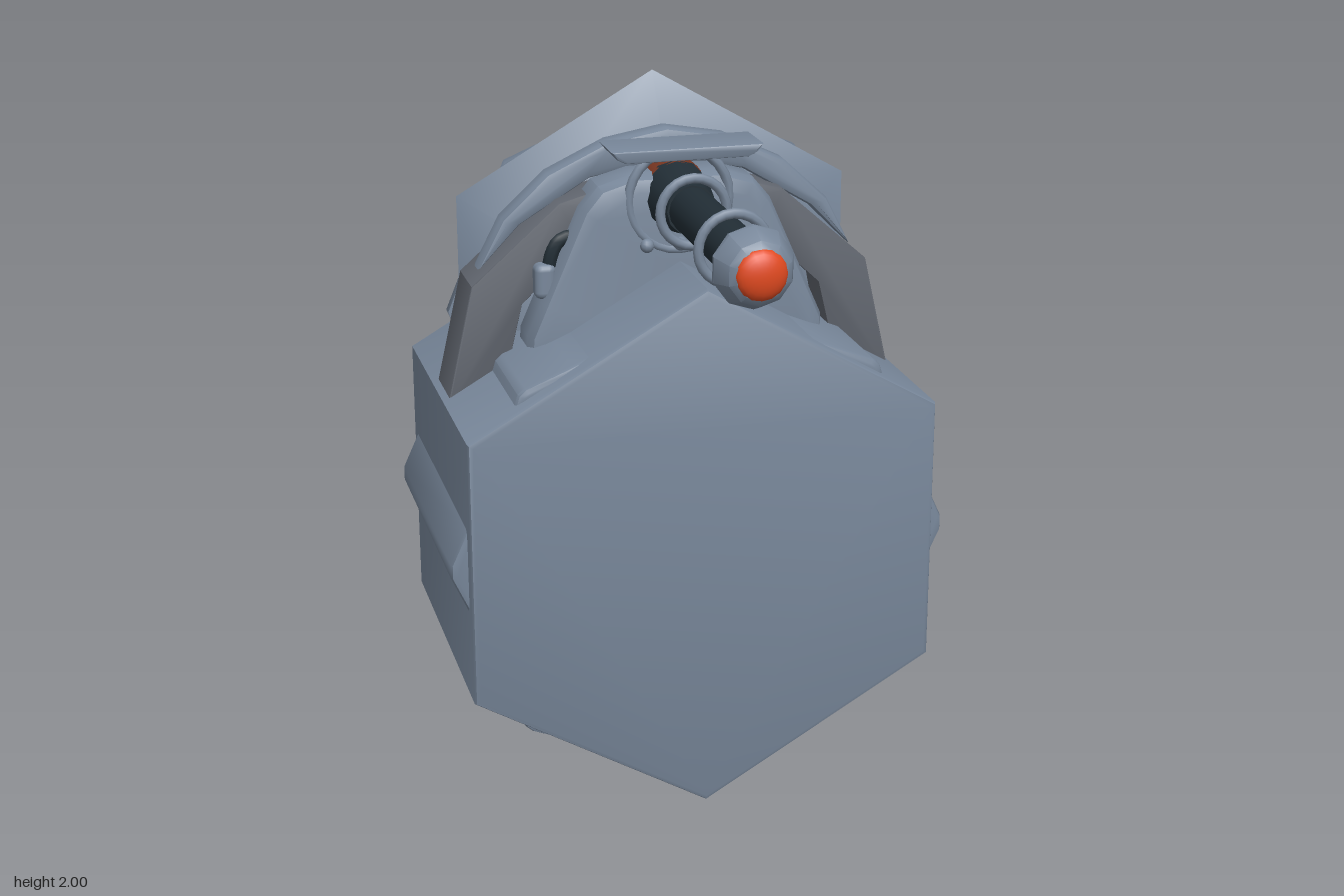
import * as THREE from 'three';
import { toCreasedNormals } from 'three/addons/utils/BufferGeometryUtils.js';
import { RoundedBoxGeometry } from 'three/addons/geometries/RoundedBoxGeometry.js';

const material = (name, color) => {
  const m = new THREE.MeshStandardMaterial({ color });
  m.name = name;
  return m;
};

export function createModel() {
  const model = new THREE.Group();
  model.name = 'hexTurret';
  const steel = material('blue grey steel', 0x78879a);
  const shade = material('dark grey steel', 0x626770);
  const black = material('gunmetal', 0x222e36);
  const orange = material('orange tip', 0xe24a20);
  const rust = material('rust collar', 0x7a3722);

  const add = (name, geometry, mat, x = 0, y = 0, z = 0) => {
    const mesh = new THREE.Mesh(geometry, mat);
    mesh.name = name;
    mesh.position.set(x, y, z);
    model.add(mesh);
    return mesh;
  };

  // Outline extruded from z0 to z1, with softened end edges
  const prism = (points, z0, z1, bevel = 0.015) => {
    const shape = new THREE.Shape(points.map(([x, y]) => new THREE.Vector2(x, y)));
    const geometry = new THREE.ExtrudeGeometry(shape, {
      depth: z1 - z0 - 2 * bevel, bevelEnabled: true, bevelThickness: bevel,
      bevelSize: bevel, bevelOffset: -bevel, bevelSegments: 2, curveSegments: 8,
    });
    return toCreasedNormals(geometry.translate(0, 0, z0 + bevel), 0.6);
  };

  // Tapered round or polygonal part along z
  const taper = (rBack, rFront, z0, z1, sides) => toCreasedNormals(
    new THREE.CylinderGeometry(rFront, rBack, z1 - z0, sides)
      .rotateX(Math.PI / 2).translate(0, 0, (z0 + z1) / 2), 0.9);

  // Mirror the right half of an outline; points run from bottom to top
  const mirrored = (half) => [...half, ...half.slice().reverse()
    .filter(([x]) => x !== 0).map(([x, y]) => [-x, y])];

  // Hexagonal body
  const cy = 0.765;
  add('body', prism([[0, 0], [0.66, 0.385], [0.66, 1.145], [0, 1.525],
    [-0.66, 1.145], [-0.66, 0.385]], -0.66, 0.255), steel);

  // Raised ribs on the body sides
  for (const s of [1, -1]) {
    const side = [[0.64, 0.6], [0.66, 0.645], [0.706, 0.745], [0.706, 0.785], [0.66, 0.885], [0.64, 0.92]];
    add('sideRib', prism(side.map(([x, y]) => [s * x, y]), -0.61, 0.205), steel);
    for (const v of [1, -1]) {
      const rib = [[0.3, -0.54], [0.3, -0.585], [0.36, -0.56], [0.49, -0.508], [0.51, -0.49],
        [0.522, -0.45], [0.48, -0.43]];
      add(v > 0 ? 'upperRib' : 'lowerRib',
        prism(rib.map(([x, y]) => [s * x, cy - v * y]), -0.61, 0.205), steel);
    }
  }

  // Rear fin
  add('rearFin', new RoundedBoxGeometry(0.735, 0.038, 0.17, 3, 0.018), black, 0, 1.28, -0.685);

  // Shield: tapered hexagon in front of an octagonal back plate
  add('shield', taper(0.655, 0.45, -0.335, -0.2, 6), steel, 0, 1.345, 0);
  add('shieldBackPlate', taper(0.6, 0.6, -0.37, -0.338, 8), steel, 0, 1.335, 0);

  // Arch over the body
  add('arch', prism([...[[0.65, 1.12], [0.57, 1.47], [0.32, 1.69], [0, 1.78], [-0.32, 1.69],
    [-0.57, 1.47], [-0.65, 1.12]], [-0.5, 1.12], [-0.43, 1.41], [-0.26, 1.57], [0, 1.63],
    [0.26, 1.57], [0.43, 1.41], [0.5, 1.12]], -0.295, -0.115, 0.005), shade);

  // Crescent rim on top of the arch
  add('crescentRim', prism([[0.54, 1.5], [0.47, 1.64], [0.34, 1.76], [0.17, 1.84], [0, 1.87],
    [-0.17, 1.84], [-0.34, 1.76], [-0.47, 1.64], [-0.54, 1.5], [-0.42, 1.62], [-0.22, 1.74],
    [0, 1.78], [0.22, 1.74], [0.42, 1.62]], -0.245, -0.165, 0.018), steel);

  // Gun housing
  add('gunHousing', prism(mirrored([[0.43, 1.2], [0.425, 1.33], [0.385, 1.42], [0.27, 1.68],
    [0.22, 1.74], [0.12, 1.77]]), -0.22, -0.035, 0.045), steel);

  // Gun, built along z at the barrel height
  const gy = 1.7;
  add('collar', taper(0.1, 0.1, -0.18, -0.07, 10), rust, 0, gy);
  add('barrelBase', taper(0.1, 0.07, -0.08, 0.09, 12), black, 0, gy);
  add('barrel', taper(0.064, 0.064, 0.05, 0.66, 16), black, 0, gy);
  for (const z of [0.105, 0.485]) {
    add('barrelRing', new THREE.TorusGeometry(0.093, 0.014, 8, 24), steel, 0, gy, z);
  }
  const muzzle = [[0, 0.63], [0.085, 0.635], [0.108, 0.65], [0.108, 0.665], [0.085, 0.725], [0.066, 0.738], [0, 0.738]];
  add('muzzle', toCreasedNormals(new THREE.LatheGeometry(
    muzzle.map(([r, z]) => new THREE.Vector2(r, z)), 10).rotateX(Math.PI / 2), 0.6), steel, 0, gy);
  add('muzzleTip', new THREE.SphereGeometry(0.068, 16, 8, 0, Math.PI * 2, 0, Math.PI / 2)
    .scale(1, 0.5, 1).rotateX(Math.PI / 2), orange, 0, gy, 0.73);

  // Sight plate, its ring bracket and rivets
  add('sightPlate', prism([[-0.17, 1.828], [0.17, 1.828], [0.195, 1.84], [0.212, 1.862],
    [-0.212, 1.862], [-0.195, 1.84]], -0.107, 0.052, 0.006), steel);
  add('sightBracket', new THREE.TorusGeometry(0.143, 0.014, 8, 28), steel, 0, gy, -0.045);
  for (const x of [-0.095, 0, 0.095]) {
    add('rivet', new THREE.SphereGeometry(0.02, 10, 8), steel, x, 1.577, -0.03);
  }

  // Small hose on the side of the housing
  const hose = new THREE.CatmullRomCurve3([
    new THREE.Vector3(-0.35, 1.47, -0.11), new THREE.Vector3(-0.352, 1.54, -0.1),
    new THREE.Vector3(-0.325, 1.59, -0.1), new THREE.Vector3(-0.26, 1.6, -0.11)]);
  add('hose', new THREE.TubeGeometry(hose, 12, 0.02, 8), black);
  add('hoseSocket', new RoundedBoxGeometry(0.06, 0.1, 0.06, 2, 0.02), steel, -0.37, 1.48, -0.1);

  return model;
}
